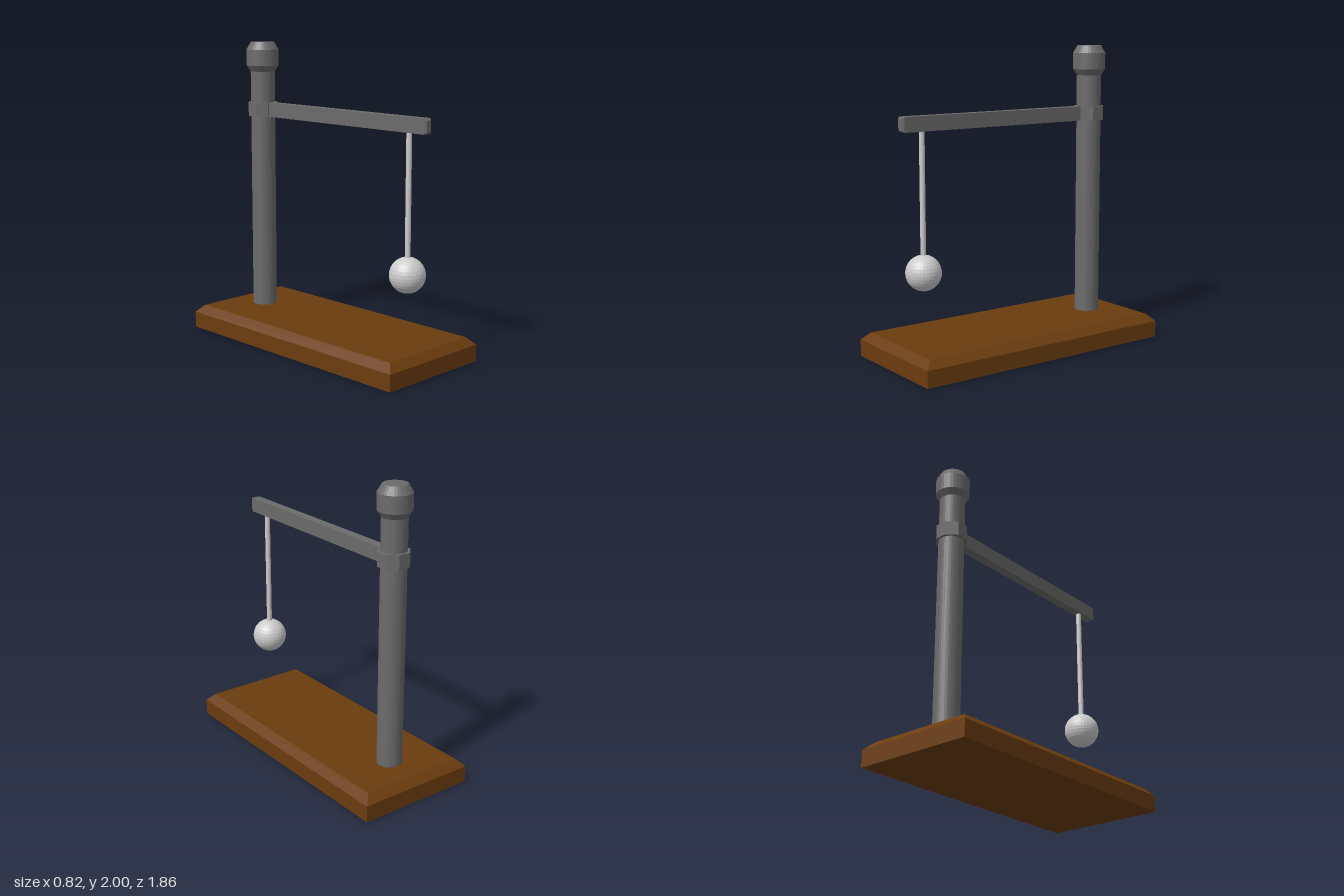
import * as THREE from 'three';

const POLE_Z = -0.65, BALL_Z = 0.695;

export function createModel() {
  const model = new THREE.Group();
  const mat = (color) => new THREE.MeshStandardMaterial({ color, flatShading: true });
  const wood = mat(0x6b3c0e), iron = mat(0x6b6b6b), steel = mat(0xcccccc);

  const add = (name, geometry, material, x, y, z) => {
    const mesh = new THREE.Mesh(geometry, material);
    mesh.name = name;
    mesh.position.set(x, y, z);
    model.add(mesh);
    return mesh;
  };

  // Box whose +y face is pulled in by an inset over the last `bevel` of height
  const bevelledBox = (w, h, d, bevel, inset) => {
    const g = new THREE.BoxGeometry(w, h, d, 1, 2, 1);
    const p = g.attributes.position;
    for (let i = 0; i < p.count; i++) {
      const y = p.getY(i);
      if (y > h / 4) {
        p.setX(i, p.getX(i) - Math.sign(p.getX(i)) * inset);
        p.setZ(i, p.getZ(i) - Math.sign(p.getZ(i)) * inset);
      } else if (y > -h / 4) p.setY(i, h / 2 - bevel);
    }
    g.computeVertexNormals();
    return g;
  };

  // Wooden plinth with a bevelled top edge
  add('base', bevelledBox(0.82, 0.16, 1.86, 0.05, 0.05), wood, 0, 0.08, 0);

  // Upright and its turned cap
  add('pole', new THREE.CylinderGeometry(0.083, 0.083, 1.68, 32), iron, 0, 0.98, POLE_Z);
  const capProfile = [[0, 1.8], [0.083, 1.8], [0.11, 1.84], [0.11, 1.95], [0.08, 2], [0, 2]];
  add('poleCap', new THREE.LatheGeometry(capProfile.map(([r, y]) => new THREE.Vector2(r, y)), 32),
    iron, 0, 0, POLE_Z);

  // Faceted collar clamping the arm to the pole
  const collar = add('collar', new THREE.CylinderGeometry(0.105, 0.105, 0.096, 8), iron, 0, 1.542, POLE_Z);
  collar.rotation.y = Math.PI / 8;

  // Horizontal arm with a chamfered tip
  const arm = add('arm', bevelledBox(0.062, 1.45, 0.096, 0.015, 0.012), iron, 0, 1.542, 0.125);
  arm.rotation.x = Math.PI / 2;

  // Hanging rod and ball
  add('hangingRod', new THREE.CylinderGeometry(0.018, 0.018, 0.84, 16), steel, 0, 1.09, BALL_Z);
  add('ball', new THREE.SphereGeometry(0.116, 32, 16), steel, 0, 0.6, BALL_Z);

  return model;
}
